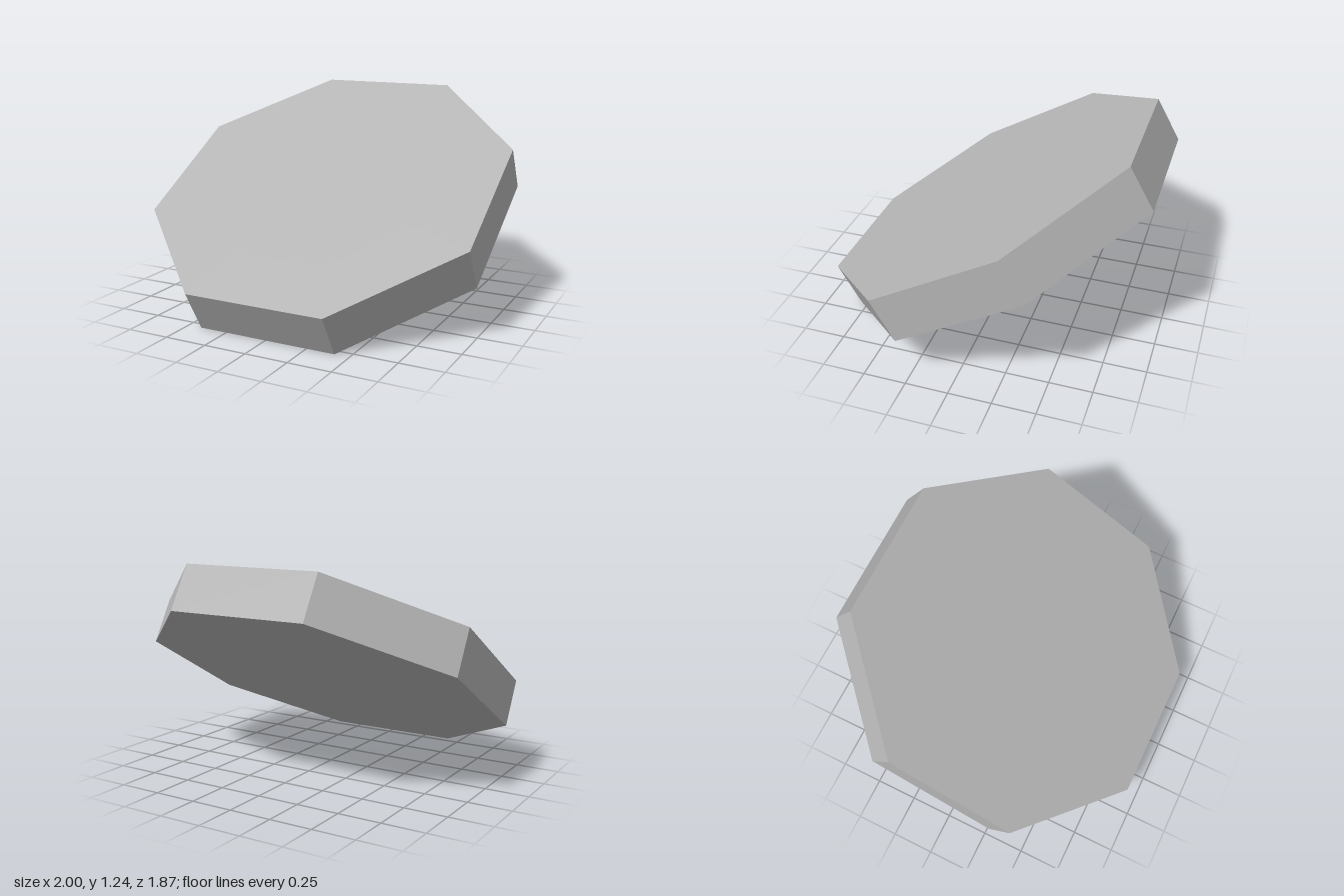
import * as THREE from 'three';

// Tilted octagonal slab with two thin octagonal plates hovering over its face
export function createModel() {
  const model = new THREE.Group();
  model.name = 'octagonalPlatform';
  const grey = new THREE.MeshStandardMaterial({ color: 0xb4b4b4, flatShading: true, side: THREE.DoubleSide });
  grey.name = 'grey';

  const thickness = 0.275;
  const tilt = Math.PI / 6;
  const radius = (apothem) => apothem / Math.cos(Math.PI / 8);

  // Everything leans forward together
  const tilted = new THREE.Group();
  tilted.name = 'tiltedPlatform';
  tilted.rotation.x = tilt;
  tilted.position.y = Math.sin(tilt) + (thickness / 2) * Math.cos(tilt);
  model.add(tilted);

  // Main slab, flat sides facing the axes
  const slabShape = new THREE.CylinderGeometry(radius(1), radius(1), thickness, 8);
  slabShape.rotateY(Math.PI / 8);
  const slab = new THREE.Mesh(slabShape, grey);
  slab.name = 'slab';
  tilted.add(slab);

  // Flat concentric plates, each a little higher than the last
  [['outerPlate', 0.677, 0.016], ['innerPlate', 0.457, 0.032]].forEach(([name, apothem, lift]) => {
    const shape = new THREE.CircleGeometry(radius(apothem), 8, Math.PI / 8);
    shape.rotateX(-Math.PI / 2);
    const plate = new THREE.Mesh(shape, grey);
    plate.name = name;
    plate.position.y = thickness / 2 + lift;
    tilted.add(plate);
  });

  return model;
}
